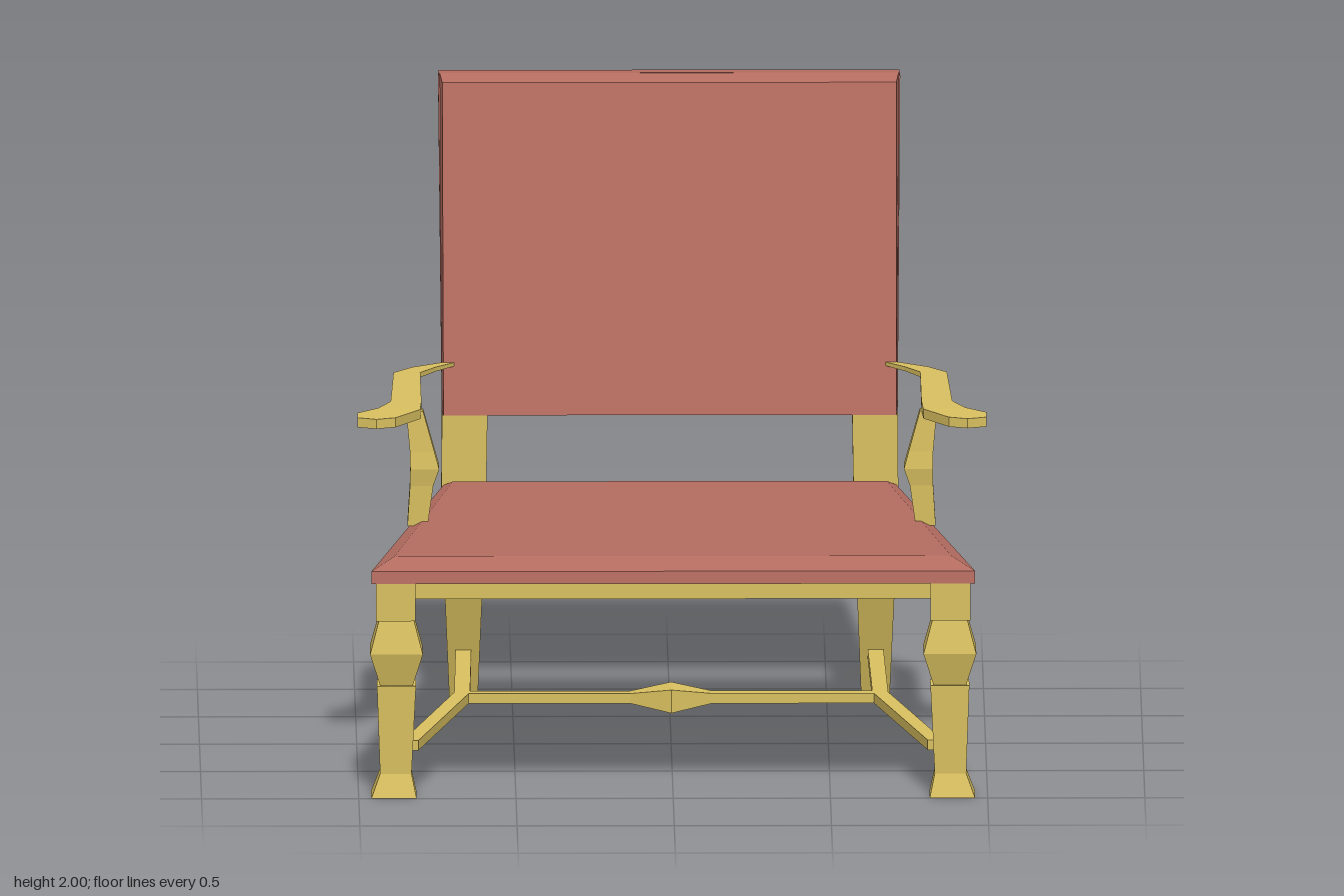
import * as THREE from 'three';

const mat = (color) => new THREE.MeshStandardMaterial({ color, flatShading: true });

// Skin a closed solid through equal-sized loops of [x, y, z] points, capping both ends
function loft(loops) {
  const n = loops[0].length, m = loops.length, idx = [];
  const pts = loops.flat();
  for (let i = 0; i < m - 1; i++) for (let j = 0; j < n; j++) {
    const a = i * n + j, b = i * n + (j + 1) % n;
    idx.push(a, b, b + n, a, b + n, a + n);
  }
  const e = (m - 1) * n;
  for (let j = 1; j < n - 1; j++) idx.push(0, j + 1, j, e, e + j, e + j + 1);
  // Turn the faces outward whichever way the loops run
  const v = pts.map((p) => new THREE.Vector3(...p));
  let volume = 0;
  for (let i = 0; i < idx.length; i += 3)
    volume += v[idx[i]].dot(v[idx[i + 1]].clone().cross(v[idx[i + 2]]));
  if (volume < 0) idx.reverse();
  const g = new THREE.BufferGeometry();
  g.setAttribute('position', new THREE.Float32BufferAttribute(pts.flat(), 3));
  g.setIndex(idx);
  const flat = g.toNonIndexed();
  flat.computeVertexNormals();
  return flat;
}

// Horizontal rectangle and vertical rectangle loops
const rectY = (y, x0, x1, z0, z1) => [[x0, y, z0], [x1, y, z0], [x1, y, z1], [x0, y, z1]];
const rectX = (x, y0, y1, z0, z1) => [[x, y0, z0], [x, y1, z0], [x, y1, z1], [x, y0, z1]];
const rectZ = (z, x0, x1, y0, y1) => [[x0, y0, z], [x1, y0, z], [x1, y1, z], [x0, y1, z]];
const squareY = (y, cx, cz, h) => rectY(y, cx - h, cx + h, cz - h, cz + h);
const trapezoid = (y, front, zf, back, zb) => [[-front, y, zf], [front, y, zf], [back, y, zb], [-back, y, zb]];

// Block in the leaning back: d is depth behind the front face
const lean = (x, y, d) => [x, y, -0.6 - (y - 0.955) * 0.273 - d];
const leanBlock = (x0, x1, y0, y1, d0, d1) => loft([y0, y1].map((y) =>
  [lean(x0, y, d0), lean(x1, y, d0), lean(x1, y, d1), lean(x0, y, d1)]));

export function createModel() {
  const model = new THREE.Group();
  const wood = mat(0xd9c060), fabric = mat(0xb46c60), grey = mat(0xcccccc);
  const add = (name, geometry, material = wood) => {
    const mesh = new THREE.Mesh(geometry, material);
    mesh.name = name;
    model.add(mesh);
  };

  // Seat cushion with bevelled top
  add('seatCushion', loft([
    trapezoid(0.69, 0.96, 0.985, 0.72, -0.6),
    trapezoid(0.73, 0.96, 0.98, 0.72, -0.6),
    [[-0.885, 0.76, 0.87], [0.885, 0.76, 0.87], [0.69, 0.747, -0.57], [-0.69, 0.747, -0.57]],
  ]), fabric);

  // Seat frame, a tapering ring, and the panel inside it
  const outline = (f, zf, b, zb) => [[-f, -zf], [f, -zf], [b, -zb], [-b, -zb]].map((p) => new THREE.Vector2(...p));
  const ring = new THREE.Shape(outline(0.945, 0.975, 0.715, -0.61));
  ring.holes.push(new THREE.Path(outline(0.84, 0.87, 0.62, -0.52)));
  const frame = new THREE.ExtrudeGeometry(ring, { depth: 0.05, bevelEnabled: false });
  frame.rotateX(-Math.PI / 2).translate(0, 0.64, 0);
  add('seatFrame', frame);
  add('seatBottomPanel', loft([
    trapezoid(0.68, 0.85, 0.88, 0.63, -0.53), trapezoid(0.692, 0.85, 0.88, 0.63, -0.53),
  ]), grey);

  // Back cushion with sloped top, wrapped around the edges of the back frame
  add('backCushion', loft([
    [lean(-0.72, 0.955, 0), lean(0.72, 0.955, 0), lean(0.725, 0.955, 0.06), lean(-0.725, 0.955, 0.06)],
    [lean(-0.722, 1.98, 0), lean(0.722, 1.98, 0), lean(0.73, 2, 0.06), lean(-0.73, 2, 0.06)],
  ]), fabric);
  add('backCushionTopWrap', leanBlock(-0.733, 0.733, 1.98, 2, 0.059, 0.114), fabric);

  // Back frame rails and panel
  add('backTopRail', leanBlock(-0.61, 0.61, 1.89, 1.981, 0.06, 0.115));
  add('backBottomRail', leanBlock(-0.61, 0.61, 0.955, 1.035, 0.06, 0.115));
  add('backPanel', leanBlock(-0.61, 0.61, 1.03, 1.9, 0.05, 0.075), grey);

  for (const s of [1, -1]) {
    const side = s > 0 ? 'left' : 'right';
    const mirrored = (loops) => loft(loops.map((l) => l.map(([x, y, z]) => [s * x, y, z])));

    add(side + 'BackPost', leanBlock(s * 0.6, s * 0.715, 0.955, 1.981, 0.06, 0.115));
    add(side + 'BackCushionWrap', mirrored([[0.955, 0.725], [1.99, 0.735]].map(([y, x]) =>
      [lean(0.71, y, 0.059), lean(x, y, 0.059), lean(x, y, 0.114), lean(0.71, y, 0.114)])), fabric);

    // Raked back leg, upright beside the seat
    add(side + 'BackLeg', mirrored([
      rectY(0, 0.61, 0.7, -0.89, -0.815),
      rectY(0.645, 0.585, 0.727, -0.715, -0.6),
      rectY(0.955, 0.58, 0.725, -0.715, -0.6),
    ]));

    // Turned front leg: foot, shaft, knop and top block
    add(side + 'FrontLeg', mirrored([
      squareY(0, 0.888, 0.925, 0.072),
      squareY(0.075, 0.882, 0.922, 0.05),
      squareY(0.36, 0.88, 0.92, 0.062),
      squareY(0.36, 0.88, 0.917, 0.052),
      squareY(0.465, 0.88, 0.915, 0.084),
      squareY(0.57, 0.88, 0.92, 0.056),
      squareY(0.57, 0.882, 0.92, 0.063),
      squareY(0.69, 0.882, 0.92, 0.063),
    ]));

    // Armrest: curved in to the back, flared hand at the front; rows of inner and outer points
    add(side + 'Armrest', mirrored([
      [0.685, -0.645, 0.71, -0.66, 1.106, 1.118],
      [0.745, -0.55, 0.82, -0.55, 1.106, 1.12],
      [0.795, -0.44, 0.88, -0.44, 1.106, 1.122],
      [0.795, 0.15, 0.893, 0.15, 1.104, 1.133],
      [0.8, 0.31, 0.932, 0.28, 1.104, 1.135],
      [0.88, 0.46, 1, 0.37, 1.104, 1.135],
      [0.94, 0.49, 1, 0.46, 1.104, 1.135],
    ].map(([xi, zi, xo, zo, y0, y1]) => [[xi, y0, zi], [xo, y0, zo], [xo, y1, zo], [xi, y1, zi]])));

    // Arm support with a swollen middle
    add(side + 'ArmSupport', mirrored([
      squareY(0.74, 0.808, 0.173, 0.032),
      squareY(0.87, 0.795, 0.173, 0.037),
      squareY(0.925, 0.785, 0.173, 0.046),
      squareY(0.98, 0.793, 0.173, 0.039),
      squareY(1.11, 0.817, 0.178, 0.027),
    ]));

    // Side stretcher, bent inward at the cross stretcher
    add(side + 'Stretcher', mirrored([
      rectZ(0.9, 0.81, 0.86, 0.138, 0.17),
      rectZ(0.02, 0.64, 0.69, 0.138, 0.17),
      rectZ(-0.8, 0.63, 0.68, 0.138, 0.17),
    ]));
  }

  // Cross stretcher with a diamond swelling at the middle
  const thin = (x) => rectX(x, 0.138, 0.17, -0.005, 0.045);
  add('crossStretcher', loft([thin(-0.66), thin(-0.13), rectX(0, 0.115, 0.19, -0.055, 0.095), thin(0.13), thin(0.66)]));

  return model;
}
